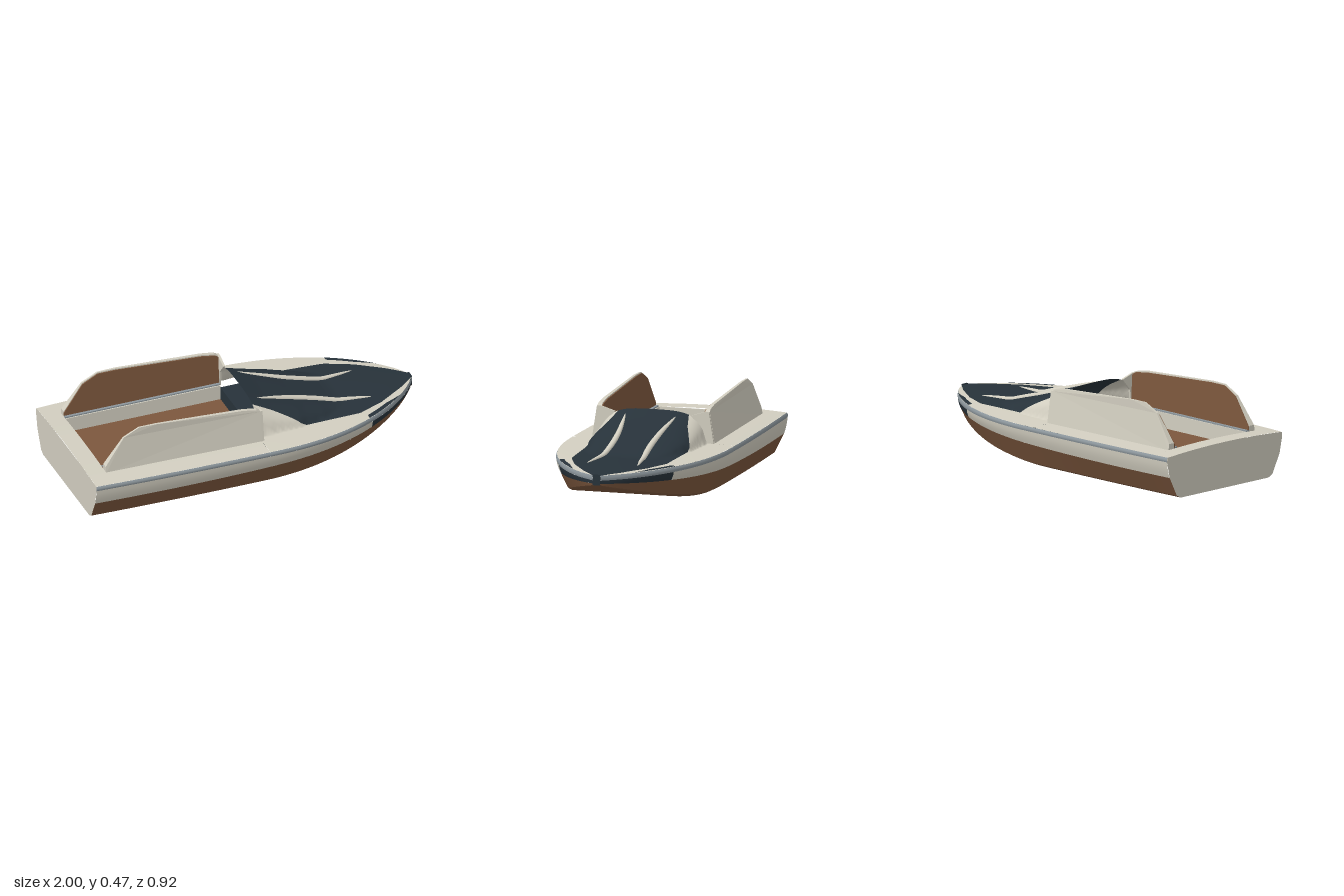
import * as THREE from 'three';

const paint = (name, color, side = THREE.FrontSide) => {
  const m = new THREE.MeshStandardMaterial({ color, side });
  m.name = name;
  return m;
};

// Piecewise linear lookup through [x, value] pairs
const lerpTable = (pts, x) => {
  for (let i = 1; i < pts.length; i++) {
    const [x0, v0] = pts[i - 1], [x1, v1] = pts[i];
    if (x <= x1) return v0 + (v1 - v0) * Math.max(0, (x - x0) / (x1 - x0));
  }
  return pts[pts.length - 1][1];
};

// Hull lines, all as functions of the distance along the boat
const halfWidth = x => x < 0 ? 0.46 - 0.025 * x * x
  : Math.max(0.02, 0.46 * Math.pow(Math.max(0, 1 - Math.pow(x, 2.3)), 0.75));
const keelY = x => 0.003 + 0.178 * Math.max(0, x) ** 2;
const chineY = x => 0.125 + 0.065 * ((x + 1) / 2) ** 2.5;
const sideTopY = x => 0.215 - 0.008 * Math.max(0, x);
const kneeY = x => keelY(x) + (chineY(x) - keelY(x)) * 0.12;
const deckEdgeY = x => 0.24 - 0.005 * Math.max(0, x);
const darkWidth = x => lerpTable([[0, 0.2], [0.1, 0.225], [0.25, 0.285], [0.6, 0.27], [0.75, 0.205], [0.9, 0.105], [1, 0.02]], x);

// Deck height with its crown and the raised canopy
function deckY(x, z) {
  const w = halfWidth(x);
  let y = deckEdgeY(x) + 0.017 * (w / 0.46) * (1 - (z / w) ** 2);
  if (x >= 0 && x < 0.54) {
    const base = lerpTable([[0, 0.3], [0.25, 0.29], [0.4, 0.25], [0.54, 0.17]], x);
    const rise = lerpTable([[0, 0.16], [0.1, 0.124], [0.3, 0.062], [0.5, 0.007], [0.54, 0]], x);
    y += rise * Math.sqrt(Math.max(0, 1 - Math.abs(z / base) ** 4));
  }
  return y;
}

// Lofted strip mirrored to both sides; f(x, t) gives [y, z], t runs outward and down
function band(name, mat, x0, x1, nx, nt, f) {
  const group = new THREE.Group();
  group.name = name;
  for (const s of [1, -1]) {
    const pos = [], idx = [];
    for (let i = 0; i <= nx; i++) {
      const x = x0 + (x1 - x0) * i / nx;
      for (let j = 0; j <= nt; j++) {
        const [y, z] = f(x, j / nt);
        pos.push(x, y, s * z);
      }
    }
    for (let i = 0; i < nx; i++) for (let j = 0; j < nt; j++) {
      const a = i * (nt + 1) + j, b = a + 1, c = a + nt + 1, d = c + 1;
      if (s > 0) idx.push(a, b, c, b, d, c);
      else idx.push(a, c, b, b, c, d);
    }
    const g = new THREE.BufferGeometry();
    g.setAttribute('position', new THREE.Float32BufferAttribute(pos, 3));
    g.setIndex(idx);
    g.computeVertexNormals();
    const mesh = new THREE.Mesh(g, mat);
    mesh.name = name + (s > 0 ? 'Left' : 'Right');
    group.add(mesh);
  }
  return group;
}

const shapeOf = pts => new THREE.Shape(pts.map(p => new THREE.Vector2(...p)));

export function createModel() {
  const model = new THREE.Group();
  const cream = paint('cream', 0xd2cec0);
  const creamShell = paint('cream shell', 0xd2cec0, THREE.DoubleSide);
  const brown = paint('brown', 0x7c573d);
  const navy = paint('navy', 0x27323a, THREE.DoubleSide);
  const grey = paint('grey', 0x8d979d);

  const add = (...args) => model.add(band(...args));
  const mix = (a, b, t) => a + (b - a) * t;
  const addMesh = (name, geo, mat) => {
    const m = new THREE.Mesh(geo, mat);
    m.name = name;
    model.add(m);
    return m;
  };
  const box = (name, mat, x0, x1, y0, y1, z0, z1) =>
    addMesh(name, new THREE.BoxGeometry(x1 - x0, y1 - y0, z1 - z0), mat)
      .position.set((x0 + x1) / 2, (y0 + y1) / 2, (z0 + z1) / 2);

  // Hull: flat bottom, bilge, lower sides, topsides and rubbing rail
  add('hullBottom', brown, -1, 1, 48, 2, (x, t) => [keelY(x), halfWidth(x) * 0.76 * (1 - t)]);
  add('bilge', brown, -1, 1, 48, 1, (x, t) => [mix(kneeY(x), keelY(x), t), halfWidth(x) * mix(0.83, 0.76, t)]);
  add('lowerSide', brown, -1, 1, 48, 3, (x, t) => [mix(chineY(x), kneeY(x), t), halfWidth(x) * mix(0.955, 0.83, t)]);
  const topside = (x, t) => [mix(sideTopY(x), chineY(x), t), halfWidth(x) * (1 - 0.045 * t ** 1.6)];
  add('topside', cream, -1, 0.65, 40, 4, topside);
  add('bowFlash', navy, 0.65, 1, 20, 4, topside);
  add('rubRail', grey, -1, 1, 60, 5, (x, t) =>
    [mix(deckEdgeY(x), sideTopY(x), t), halfWidth(x) + 0.004 * Math.sin(Math.PI * t) - 0.004 * (1 - t) * Math.min(1, halfWidth(x) * 5)]);
  box('bowCap', navy, 0.992, 1, 0.181, 0.24, -0.021, 0.021);

  // Transom
  const half = [[0.76, keelY(-1)], [0.83, kneeY(-1)], [0.955, chineY(-1)], [1, sideTopY(-1)], [0.992, 0.24], [0.5, deckY(-1, 0.22)]]
    .map(([k, y]) => [k * halfWidth(-1), y]);
  const transom = addMesh('transom', new THREE.ShapeGeometry(shapeOf([...half, ...half.map(([z, y]) => [-z, y]).reverse()])), cream);
  transom.rotation.y = -Math.PI / 2;
  transom.position.x = -1;

  // Deck around the cockpit, then the foredeck and canopy
  const deck = (lo, hi) => (x, t) => { const z = mix(lo(x), hi(x), t); return [deckY(x, z), z]; };
  const edge = x => halfWidth(x) - 0.004 * Math.min(1, halfWidth(x) * 5);
  add('sternDeck', cream, -1, -0.9, 3, 8, deck(() => 0, edge));
  add('sideDeck', cream, -0.9, -0.001, 20, 6, deck(() => 0.26, edge));
  add('canopy', navy, 0, 1, 64, 16, deck(() => 0, darkWidth));
  add('foredeckSide', creamShell, 0, 1, 64, 16, deck(darkWidth, edge));

  // Dark flash along the forward deck edge
  add('deckFlash', navy, 0.63, 0.87, 14, 1, (x, t) => {
    const z = edge(x) - 0.028 * Math.min(1, (0.87 - x) / 0.1) * (1 - t);
    return [deckY(x, z) + 0.002, z];
  });

  // Curved raised streaks over the canopy
  add('canopyStreak', creamShell, 0.05, 0.72, 36, 8, (x, t) => {
    const u = (x - 0.05) / 0.67, bow = Math.sin(Math.PI * u);
    const w = 0.017 * Math.pow(Math.max(0, bow), 0.6);
    const z = 0.143 - 0.035 * bow - w * Math.cos(Math.PI * t);
    return [deckY(x, z) + 0.001 + 0.9 * w * Math.sin(Math.PI * t), z];
  });

  // Cockpit floor, walls and dashboard
  box('cockpitFloor', brown, -0.9, 0, 0.15, 0.165, -0.26, 0.26);
  box('cockpitRearWall', cream, -0.908, -0.9, 0.15, 0.25, -0.26, 0.26);
  box('dashboard', navy, 0, 0.3, 0.15, 0.238, -0.26, 0.26);
  for (const s of [1, -1]) {
    const side = s > 0 ? 'Left' : 'Right';
    const slab = (name, mat, x0, x1, y0, y1, z0, z1) =>
      box(name + side, mat, x0, x1, y0, y1, Math.min(s * z0, s * z1), Math.max(s * z0, s * z1));
    slab('cockpitWall', cream, -0.9, 0, 0.15, 0.25, 0.257, 0.266);
    slab('coamingRail', grey, -0.9, 0, 0.245, 0.258, 0.262, 0.282);
  }

  // Leaning side screens: cream outside, brown lining
  const profile = [[-0.9, 0.24], [0, 0.24], [0, 0.42], [-0.02, 0.432], [-0.1, 0.445], [-0.35, 0.46],
    [-0.6, 0.475], [-0.7, 0.475], [-0.79, 0.43], [-0.9, 0.28]];
  const outer = (x, y) => 0.345 - (y - 0.25) * 0.155 - 0.02 * Math.max(0, (-x - 0.65) / 0.25);
  const inner = (x, y) => 0.283 + (y - 0.25) * 0.06;
  const screen = (name, mat, near, far, s, inset = 0) => {
    const pts = profile.map(([x, y]) => [x, y > 0.25 ? y - inset : y]);
    const g = new THREE.ExtrudeGeometry(shapeOf(pts), { depth: 1, bevelEnabled: false });
    const p = g.attributes.position;
    for (let i = 0; i < p.count; i++) {
      const x = p.getX(i), y = p.getY(i), isFar = p.getZ(i) > 0.5;
      // On the right side the slab's two faces swap so corners keep their order
      const z = (isFar === (s > 0)) ? far(x, y) : near(x, y);
      p.setZ(i, s * z);
    }
    g.computeVertexNormals();
    addMesh(name + (s > 0 ? 'Left' : 'Right'), g, mat);
  };
  for (const s of [1, -1]) {
    screen('sideScreen', cream, inner, outer, s);
    screen('screenLining', brown, (x, y) => inner(x, y) - 0.006, inner, s, 0.006);
    // Gusset joining the screen to the canopy
    const g = new THREE.ExtrudeGeometry(
      shapeOf([[0.28, 0.24], [0.345, 0.24], [0.317, 0.42], [0.295, 0.42], [0.215, 0.395], [0.27, 0.33]].map(([z, y]) => [s * z, y])),
      { depth: 0.012, bevelEnabled: false });
    const gusset = addMesh('gusset' + (s > 0 ? 'Left' : 'Right'), g, cream);
    gusset.rotation.y = -Math.PI / 2;
    gusset.position.x = 0.012;
  }
  return model;
}
